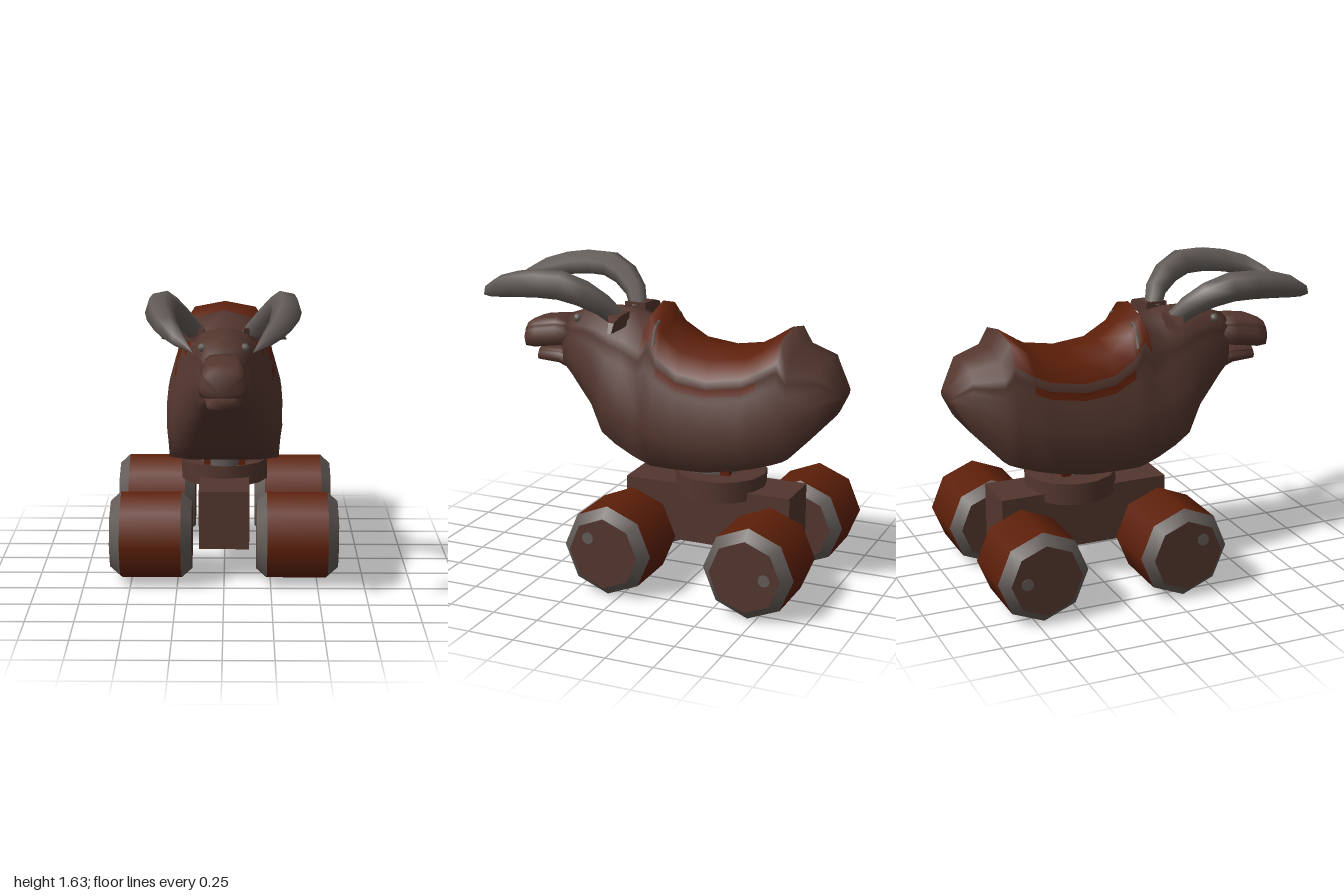
import * as THREE from 'three';

const mat = (name, color) => {
  const m = new THREE.MeshStandardMaterial({ color });
  m.name = name;
  return m;
};

// Half cross-section from belly to spine: [width factor, height factor]
const HALF = [[0, 0], [0.6, 0], [0.92, 0.02], [1, 0.25], [1, 0.42], [0.89, 0.62],
  [0.86, 0.66], [0.835, 0.725], [0.82, 0.8], [0.6, 0.95], [0, 1]];
const RING = [...HALF, ...HALF.slice(1, -1).reverse().map(([x, y]) => [-x, y])];

// Loft through sections [z, bottom, top, half width, pinch toward the top];
// paint(i, band) picks the material index
function loft(sections, paint = () => 0) {
  const n = RING.length, pos = [], faces = [[], []];
  for (const [z, b, t, w, pinch = 0] of sections) {
    for (const [x, y] of RING) pos.push(x * w * (1 - pinch * y), b + y * (t - b), z);
  }
  for (let i = 0; i < sections.length - 1; i++) {
    for (let j = 0; j < n; j++) {
      const a = i * n + j, b = i * n + (j + 1) % n;
      faces[paint(i, j)].push(a, b, b + n, a, b + n, a + n);
    }
  }
  const last = (sections.length - 1) * n;
  for (let j = 1; j < n - 1; j++) {
    faces[0].push(0, j + 1, j, last, last + j, last + j + 1);
  }
  const g = new THREE.BufferGeometry();
  g.setAttribute('position', new THREE.Float32BufferAttribute(pos, 3));
  g.setIndex([...faces[0], ...faces[1]]);
  g.addGroup(0, faces[0].length, 0);
  g.addGroup(faces[0].length, faces[1].length, 1);
  g.computeVertexNormals();
  return g;
}

const curve = (points, s) =>
  new THREE.CatmullRomCurve3(points.map(([x, y, z]) => new THREE.Vector3(s * x, y, z)));

// Tapered horn: a unit tube whose rings are scaled along the path
function hornGeometry(s) {
  const path = curve([[0.13, 1.37, 0.2], [0.21, 1.46, 0.26], [0.295, 1.555, 0.42],
    [0.31, 1.56, 0.6], [0.265, 1.515, 0.83], [0.14, 1.43, 1.0]], s);
  const seg = 8, sides = 6;
  const g = new THREE.TubeGeometry(path, seg, 1, sides, false);
  const p = g.attributes.position, v = new THREE.Vector3();
  for (let i = 0; i < p.count; i++) {
    const t = Math.floor(i / (sides + 1)) / seg;
    const r = 0.077 * (1 - t ** 5) * (0.6 + 0.4 * Math.min(1, t * 3));
    const c = path.getPointAt(t);
    v.fromBufferAttribute(p, i).sub(c).multiplyScalar(r).add(c);
    p.setXYZ(i, v.x, v.y, v.z);
  }
  return g;
}

// Ear plate that thins toward its tip
function earGeometry(s) {
  const shape = new THREE.Shape([[0.1, 1.41], [0.225, 1.405], [0.29, 1.385], [0.325, 1.337], [0.2, 1.335], [0.1, 1.34]]
    .map(([x, y]) => new THREE.Vector2(s * x, y)));
  const g = new THREE.ExtrudeGeometry(shape, { depth: 0.12, bevelEnabled: false });
  const p = g.attributes.position;
  for (let i = 0; i < p.count; i++) {
    p.setZ(i, 0.15 + p.getZ(i) * (0.15 + 0.85 * (0.325 - Math.abs(p.getX(i))) / 0.225));
  }
  g.computeVertexNormals();
  return g;
}

export function createModel() {
  const brown = mat('brown', 0x53362e);
  const rust = mat('rust', 0x5d1f09);
  const grey = mat('grey', 0x625b57);
  const model = new THREE.Group();
  const add = (name, geometry, material, x = 0, y = 0, z = 0, parent = model) => {
    const m = new THREE.Mesh(geometry, material);
    m.name = name;
    m.position.set(x, y, z);
    parent.add(m);
    return m;
  };

  // Body, neck and saddle as one skin; the saddle and its side strap are colour bands
  const body = [
    [-1.0, 1.04, 1.1, 0.11], [-0.92, 0.9, 1.25, 0.22], [-0.77, 0.74, 1.3, 0.285],
    [-0.72, 0.72, 1.39, 0.3, 0.04], [-0.62, 0.69, 1.325, 0.315], [-0.54, 0.67, 1.28, 0.32],
    [-0.35, 0.635, 1.25, 0.32], [-0.18, 0.63, 1.275, 0.32, 0.05], [-0.06, 0.63, 1.36, 0.32, 0.15],
    [0, 0.65, 1.46, 0.32, 0.22], [0.05, 0.67, 1.36, 0.315, 0.25], [0.15, 0.72, 1.4, 0.31, 0.34],
    [0.24, 0.77, 1.415, 0.285, 0.3], [0.33, 0.9, 1.41, 0.22, 0.18], [0.42, 0.98, 1.4, 0.172, 0.05],
    [0.48, 1.04, 1.365, 0.145], [0.54, 1.085, 1.345, 0.115],
  ];
  const paint = (i, j) => {
    const band = Math.min(j, 19 - j);
    const seat = band >= 8 && i >= 3 && i <= (band === 8 ? 9 : 8);
    const strap = band === 6 && i >= 4 && i <= 7;
    return seat || strap ? 1 : 0;
  };
  add('bodyAndSaddle', loft(body, paint), [brown, rust]);

  // Open mouth
  add('upperJaw', loft([[0.5, 1.19, 1.335, 0.115], [0.6, 1.175, 1.335, 0.11],
    [0.71, 1.16, 1.318, 0.125], [0.77, 1.16, 1.29, 0.11], [0.792, 1.17, 1.26, 0.075]]), brown);
  add('lowerJaw', loft([[0.46, 1.04, 1.17, 0.11], [0.58, 1.08, 1.16, 0.09],
    [0.71, 1.085, 1.15, 0.08]]), brown);

  for (const s of [1, -1]) {
    const side = s > 0 ? 'left' : 'right';
    add(side + 'Horn', hornGeometry(s), grey);
    add(side + 'Ear', earGeometry(s), brown);
    add(side + 'Eye', new THREE.SphereGeometry(0.023, 8, 6), grey, s * 0.107, 1.347, 0.45);
    // Trim curving down behind the front of the saddle
    const trim = curve([[0.12, 1.376, -0.028], [0.153, 1.364, -0.028], [0.19, 1.302, -0.03],
      [0.214, 1.262, -0.036]], s);
    add(side + 'SaddleTrim', new THREE.TubeGeometry(trim, 8, 0.011, 5), grey);
  }

  // Chassis, turntable and pivot
  add('chassis', new THREE.BoxGeometry(0.27, 0.32, 0.925), brown, 0, 0.35, -0.3075);
  add('turntable', new THREE.CylinderGeometry(0.243, 0.243, 0.115, 14), brown, 0, 0.522, -0.34);
  add('pivot', new THREE.CylinderGeometry(1, 1, 0.12, 14), grey, 0, 0.63, -0.27).scale.set(0.13, 1, 0.172);
  for (const x of [-0.095, 0.095]) {
    for (const z of [-0.16, -0.4]) {
      add('pivotPost', new THREE.BoxGeometry(0.035, 0.12, 0.05), rust, x, 0.63, z);
    }
  }

  // Eight-sided barrel wheels: tread, bevelled rims, hubs and an outer bolt
  const drum = (rOut, rIn, w) => new THREE.CylinderGeometry(rOut, rIn, w, 8, 1, true).rotateZ(-Math.PI / 2);
  const axles = [['front', 0.072, 0.085, 0.075], ['rear', -0.705, -0.105, 0]];
  for (const [end, z, boltZ, boltY] of axles) {
    for (const s of [1, -1]) {
      const wheel = new THREE.Group();
      wheel.name = end + (s > 0 ? 'Left' : 'Right') + 'Wheel';
      wheel.position.set(s * 0.391, 0.245, z);
      add('tread', drum(0.242, 0.242, 0.324), rust, 0, 0, 0, wheel);
      for (const d of [1, -1]) {
        add('rim', d > 0 ? drum(0.19, 0.242, 0.056) : drum(0.242, 0.19, 0.056), grey, d * 0.19, 0, 0, wheel);
        const hub = new THREE.CircleGeometry(0.19, 8).rotateY(d * Math.PI / 2);
        add('hub', hub, brown, d * 0.218, 0, 0, wheel);
      }
      const bolt = new THREE.CylinderGeometry(0.032, 0.032, 0.006, 10).rotateZ(Math.PI / 2);
      add('bolt', bolt, grey, s * 0.219, boltY, boltZ, wheel);
      model.add(wheel);
    }
  }
  return model;
}
